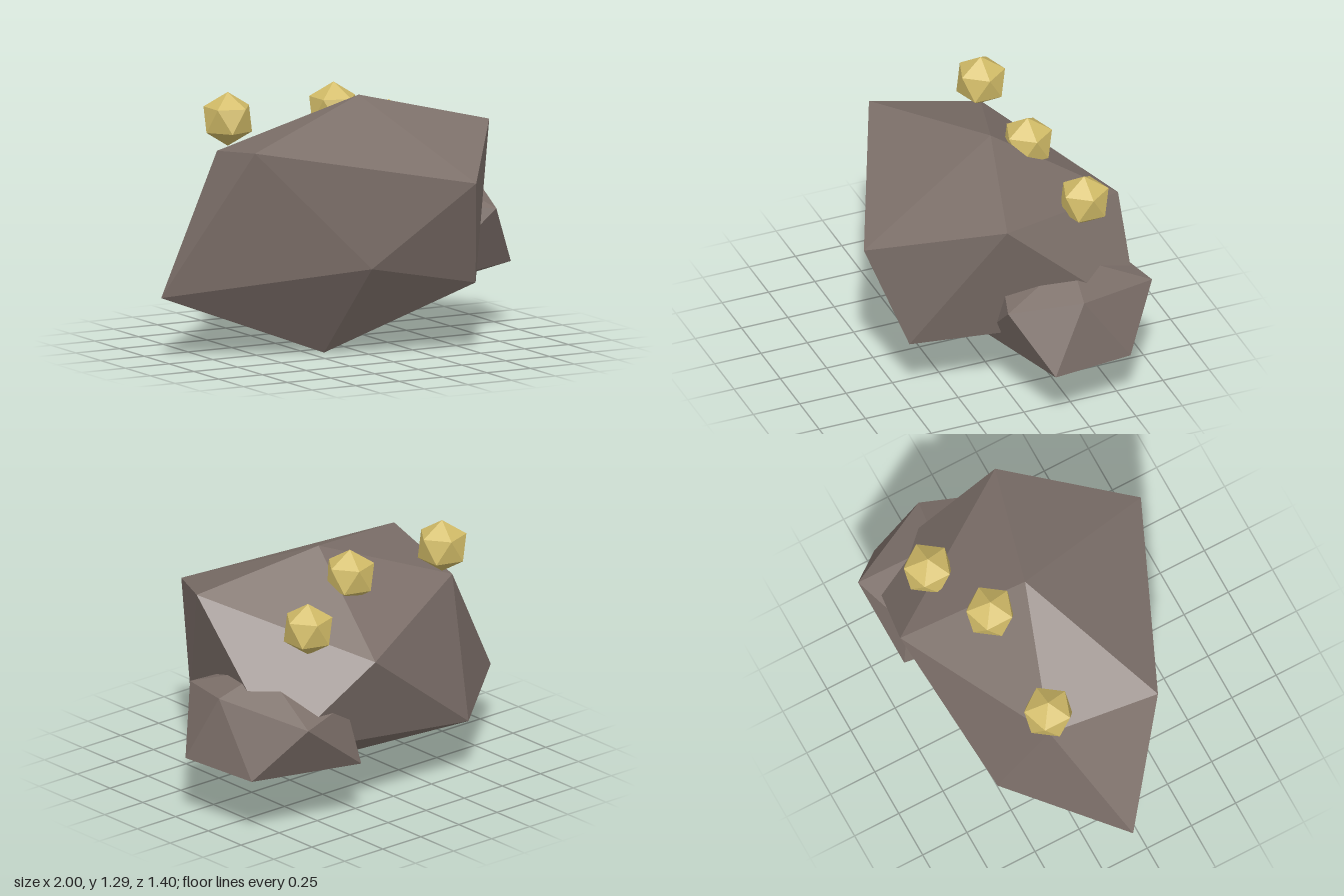
import * as THREE from 'three';

// Twenty-sided faceted solid: top point, upper ring of 5, lower ring of 5, bottom point.
// Rings run counter-clockwise seen from above; lower[i] sits between upper[i] and upper[i + 1].
function facetedGeometry(top, upper, lower, bottom) {
  const pos = [];
  const face = (...corners) => corners.forEach((c) => pos.push(...c));
  for (let i = 0; i < 5; i++) {
    const j = (i + 1) % 5;
    face(top, upper[i], upper[j]);
    face(upper[i], lower[i], upper[j]);
    face(lower[i], lower[j], upper[j]);
    face(bottom, lower[j], lower[i]);
  }
  const geometry = new THREE.BufferGeometry();
  geometry.setAttribute('position', new THREE.Float32BufferAttribute(pos, 3));
  geometry.computeVertexNormals(); // unshared corners keep the facets flat
  return geometry;
}

// Regular nugget standing on a point
function nuggetGeometry(r) {
  const ring = (y, turn) => Array.from({ length: 5 }, (_, i) => {
    const a = (i * 2 * Math.PI) / 5 + turn;
    return [0.894 * r * Math.cos(a), y, -0.894 * r * Math.sin(a)];
  });
  return facetedGeometry([0, r, 0], ring(0.447 * r, 0), ring(-0.447 * r, Math.PI / 5), [0, -r, 0]);
}

export function createModel() {
  const group = new THREE.Group();
  const stone = new THREE.MeshStandardMaterial({ color: 0x7d706a });
  stone.name = 'stone';
  const gold = new THREE.MeshStandardMaterial({ color: 0xd2bc68 });
  gold.name = 'gold';

  const add = (name, geometry, material) => {
    const mesh = new THREE.Mesh(geometry, material);
    mesh.name = name;
    group.add(mesh);
    return mesh;
  };

  // Large boulder
  add('mainRock', facetedGeometry(
    [0.13, 1.25, -0.08],
    [[-0.65, 1.07, 0.25], [0.36, 0.9, 0.7], [0.775, 1.1, 0.1], [0.29, 0.855, -0.7], [-0.55, 0.99, -0.31]],
    [[-0.1, 0.47, 0.46], [0.47, 0.36, 0.5], [0.82, 0.47, -0.59], [-0.45, 0.3, -0.55], [-1, 0.32, -0.08]],
    [-0.17, 0, 0.1],
  ), stone);

  // Small boulder leaning into its side
  add('sideRock', facetedGeometry(
    [0.66, 0.79, -0.29],
    [[0.81, 0.645, 0.11], [0.93, 0.69, -0.25], [0.73, 0.6, -0.7], [0.4, 0.63, -0.6], [0.44, 0.68, 0]],
    [[0.995, 0.335, -0.07], [0.93, 0.32, -0.5], [0.34, 0.31, -0.65], [0.25, 0.38, -0.2], [0.41, 0.29, 0.07]],
    [0.67, 0.205, -0.3],
  ), stone);

  // Gold nuggets along the back of the top
  const nugget = nuggetGeometry(0.136);
  [[-0.5, 1.15, -0.29], [0.105, 1.15, -0.29], [0.5, 1.005, -0.43]].forEach((p, i) => {
    add(`goldNugget${i + 1}`, nugget, gold).position.set(...p);
  });
  return group;
}
